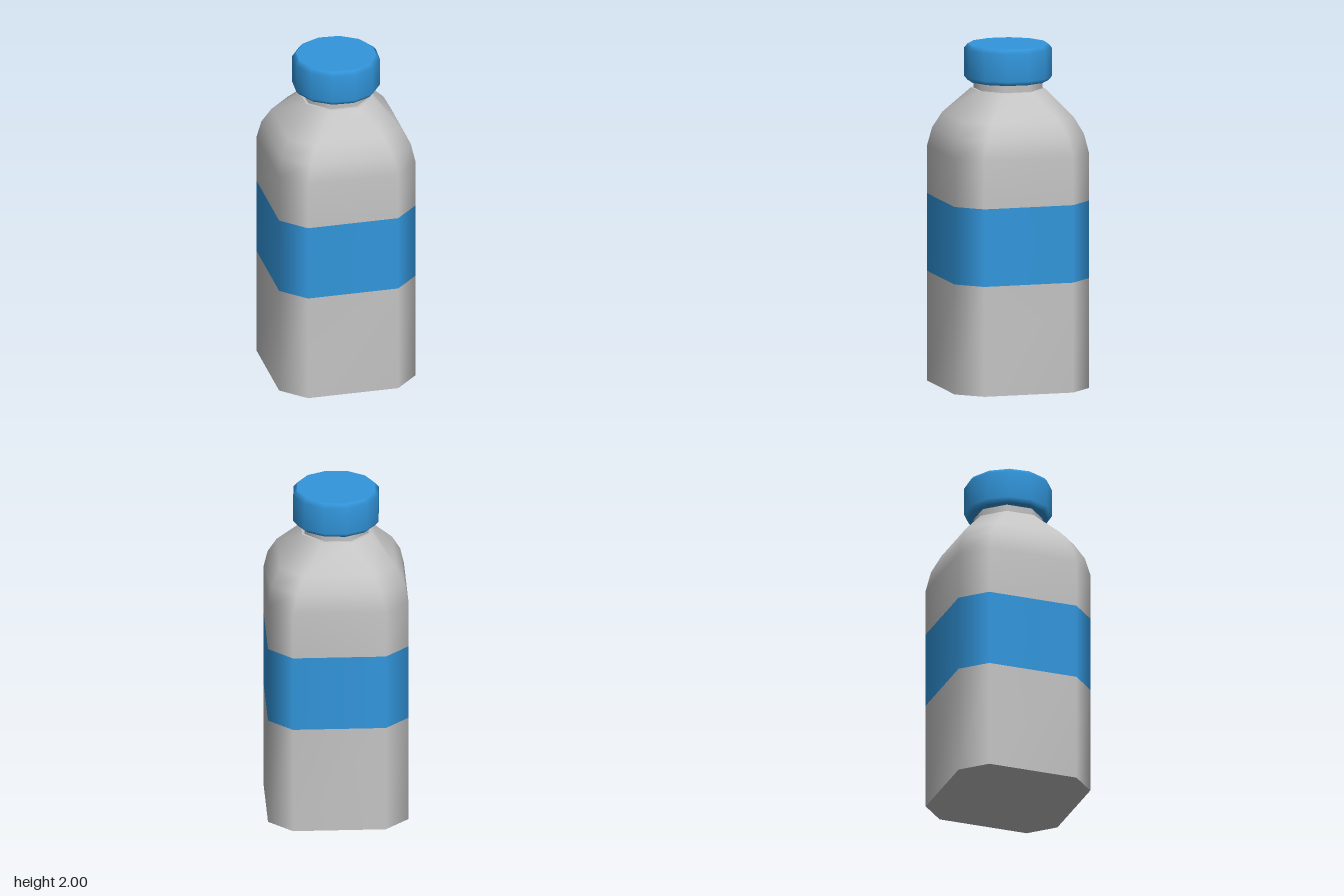
import * as THREE from 'three';

const bottleGrey = new THREE.MeshStandardMaterial({ color: 0xc4c4c4 });
const labelBlue = new THREE.MeshStandardMaterial({ color: 0x3296dc });

// Eight corners of a chamfered square: half width h, flat half length c
const octagon = (h, c, y) =>
  [[h, -c], [h, c], [c, h], [-c, h], [-h, c], [-h, -c], [-c, -h], [c, -h]].map(([x, z]) => [x, y, z]);

// Smooth loft through the sections; the label rows use the second material
function bodyGeometry(sections, labelRow) {
  const rings = sections.map((s) => octagon(...s));
  const last = rings.length - 1;
  // Repeated end rings keep the flat base and top crisp
  const points = [...rings, rings[0], rings[last]].flat(2);
  const index = [];
  const geometry = new THREE.BufferGeometry();
  for (let i = 0; i < last; i++) {
    for (let j = 0; j < 8; j++) {
      const a = i * 8 + j, b = i * 8 + (j + 1) % 8;
      index.push(a, a + 8, b, b, a + 8, b + 8);
    }
    geometry.addGroup(i * 48, 48, i === labelRow ? 1 : 0);
  }
  const base = rings.length * 8, top = base + 8;
  for (let j = 1; j < 7; j++) index.push(base, base + j, base + j + 1, top, top + j + 1, top + j);
  geometry.addGroup(last * 48, 36, 0);
  geometry.setAttribute('position', new THREE.Float32BufferAttribute(points, 3));
  geometry.setIndex(index);
  geometry.computeVertexNormals();
  return geometry;
}

function lathe(profile, sides, turn) {
  return new THREE.LatheGeometry(profile.map(([r, y]) => new THREE.Vector2(r, y)), sides, turn);
}

export function createModel() {
  const model = new THREE.Group();
  model.name = 'bottle';
  const add = (name, geometry, material, parent = model) => {
    const mesh = new THREE.Mesh(geometry, material);
    mesh.name = name;
    parent.add(mesh);
    return mesh;
  };

  // Body with label band and rounded shoulders: [half width, flat half length, y]
  add('body', bodyGeometry([
    [0.408, 0.27, 0],
    [0.408, 0.27, 0.645],
    [0.408, 0.27, 1.1],
    [0.408, 0.27, 1.38],
    [0.385, 0.245, 1.49],
    [0.335, 0.205, 1.585],
    [0.2, 0.083, 1.74],
  ], 1), [bottleGrey, labelBlue]);

  // Neck
  add('neck', lathe([[0.2, 1.735], [0.2, 1.82]], 8, Math.PI / 8), bottleGrey);

  // Twelve-sided screw cap with bevelled rims
  const cap = new THREE.Group();
  cap.name = 'cap';
  model.add(cap);
  const turn = THREE.MathUtils.degToRad(11.5);
  add('capSide', lathe([[0.235, 1.787], [0.256, 1.812], [0.256, 1.975], [0.235, 2]], 12, turn), labelBlue, cap);
  add('capTop', lathe([[0.235, 2], [0, 2]], 12, turn), labelBlue, cap);
  add('capUnderside', lathe([[0, 1.787], [0.235, 1.787]], 12, turn), labelBlue, cap);
  return model;
}
